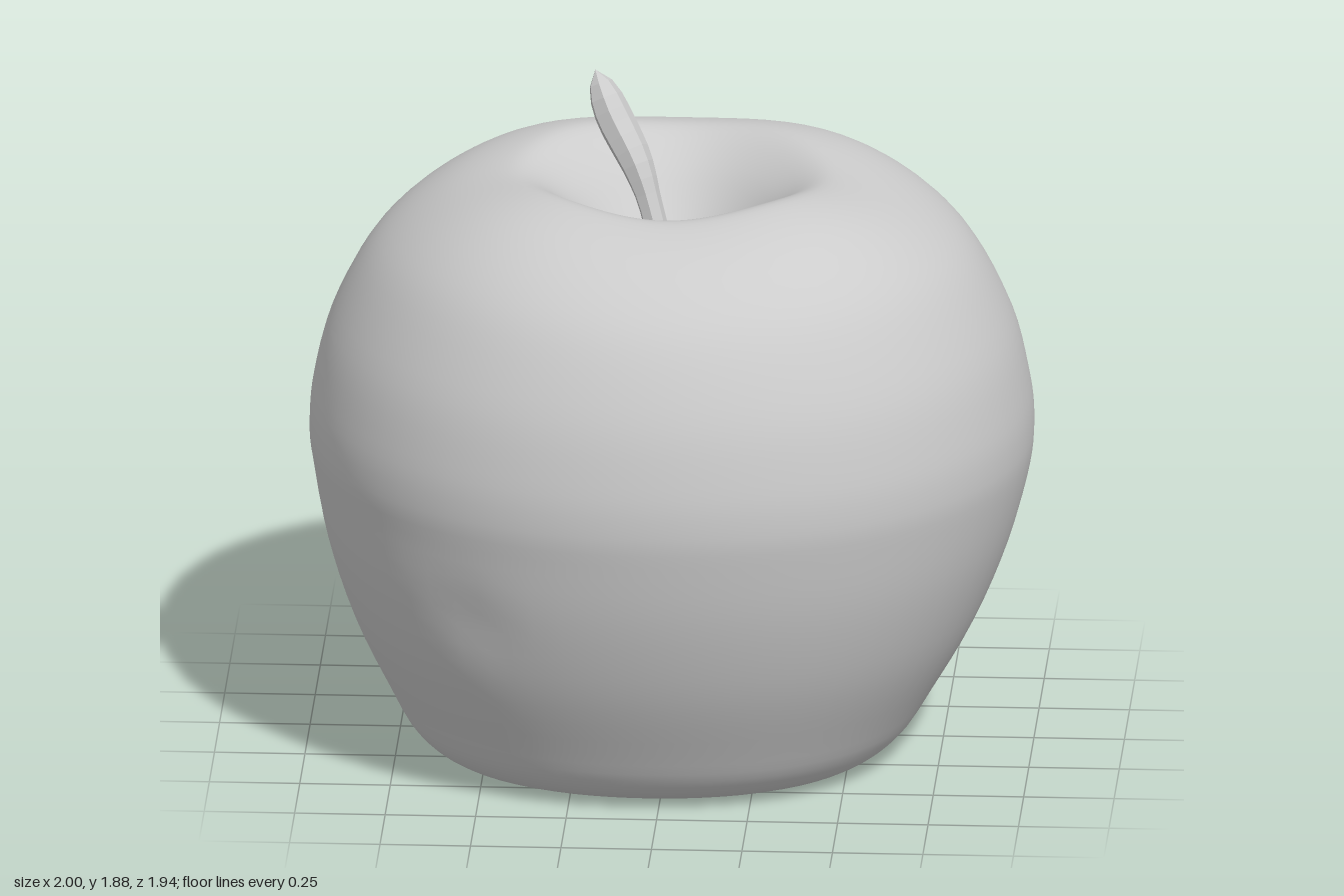
import * as THREE from 'three';
import { mergeVertices } from 'three/addons/utils/BufferGeometryUtils.js';

const v2 = (x, y) => new THREE.Vector2(x, y);
const v3 = (x, y, z) => new THREE.Vector3(x, y, z);

// Half profile from the nearly flat underside, over the shoulder, into the stem hollow
const PROFILE = [
  v2(0, 0.04), v2(0.25, 0.03), v2(0.46, 0.015), v2(0.6, 0.025), v2(0.69, 0.085), v2(0.76, 0.2),
  v2(0.865, 0.4), v2(0.945, 0.62), v2(0.99, 0.82), v2(1, 0.93), v2(0.988, 1.05), v2(0.945, 1.22),
  v2(0.855, 1.4), v2(0.755, 1.51), v2(0.62, 1.595), v2(0.48, 1.64), v2(0.39, 1.635),
  v2(0.29, 1.57), v2(0.2, 1.48), v2(0.11, 1.39), v2(0.05, 1.345), v2(0, 1.33),
];

// Small bruises pressed into the skin: centre, radius, depth
const DENTS = [
  { at: v3(-0.02, 0.17, -0.74), radius: 0.13, depth: 0.035 },
  { at: v3(-0.5, 0.6, 0.77), radius: 0.16, depth: 0.012 },
];

function createBody(material) {
  const points = new THREE.SplineCurve(PROFILE).getPoints(84);
  points[0].x = points[points.length - 1].x = 0;
  let geo = new THREE.LatheGeometry(points, 72);
  const pos = geo.attributes.position;
  const p = v3(0, 0, 0);
  for (let i = 0; i < pos.count; i++) {
    p.fromBufferAttribute(pos, i);
    const low = Math.max(0, 1 - p.y / 0.8);
    const high = THREE.MathUtils.smoothstep(p.y, 1.3, 1.62);
    // four soft lobes: fuller flanks and a higher rim on the diagonals
    const lobe = Math.sin(2 * Math.atan2(p.z, p.x)) ** 2;
    const swell = 1 + lobe * (0.01 + 0.025 * low);
    p.y += 0.022 * lobe * high * Math.min(1, Math.hypot(p.x, p.z) / 0.4);
    // the foot leans slightly to one side
    p.x = p.x * swell - 0.035 * low;
    p.z = p.z * swell * 0.97 + 0.02 * low;
    for (const d of DENTS) {
      const push = d.depth * Math.exp(-p.distanceToSquared(d.at) / (d.radius * d.radius * 0.4));
      const r = Math.hypot(p.x, p.z) || 1;
      p.x -= (push * p.x) / r;
      p.z -= (push * p.z) / r;
    }
    pos.setXYZ(i, p.x, p.y, p.z);
  }
  // weld the seam so the skin shades smoothly all round
  geo.deleteAttribute('uv');
  geo.deleteAttribute('normal');
  geo = mergeVertices(geo, 1e-4);
  geo.computeVertexNormals();
  const mesh = new THREE.Mesh(geo, material);
  mesh.name = 'body';
  return mesh;
}

function createStem() {
  // bent path with a swollen, blunt tip
  const curve = new THREE.CatmullRomCurve3([
    v3(-0.01, 1.3, 0.05), v3(-0.04, 1.48, 0.025), v3(-0.095, 1.65, -0.025),
    v3(-0.17, 1.78, -0.095), v3(-0.22, 1.893, -0.14),
  ]);
  const radii = [0.06, 0.054, 0.047, 0.04, 0.036, 0.034, 0.034, 0.036, 0.041, 0.046,
    0.05, 0.052, 0.053, 0.052, 0.047, 0.034, 0];
  const rings = radii.length - 1;
  const sides = 7;
  const geo = new THREE.TubeGeometry(curve, rings, 1, sides);
  const pos = geo.attributes.position;
  const p = v3(0, 0, 0);
  for (let i = 0; i < pos.count; i++) {
    const ring = Math.floor(i / (sides + 1));
    const centre = curve.getPointAt(ring / rings);
    p.fromBufferAttribute(pos, i).sub(centre).multiplyScalar(radii[ring]).add(centre);
    pos.setXYZ(i, p.x, p.y, p.z);
  }
  geo.computeVertexNormals();
  const mesh = new THREE.Mesh(geo, new THREE.MeshStandardMaterial({ color: 0xcccccc, flatShading: true }));
  mesh.name = 'stem';
  return mesh;
}

export function createModel() {
  const group = new THREE.Group();
  group.name = 'apple';
  group.add(createBody(new THREE.MeshStandardMaterial({ color: 0xcccccc })), createStem());
  return group;
}
